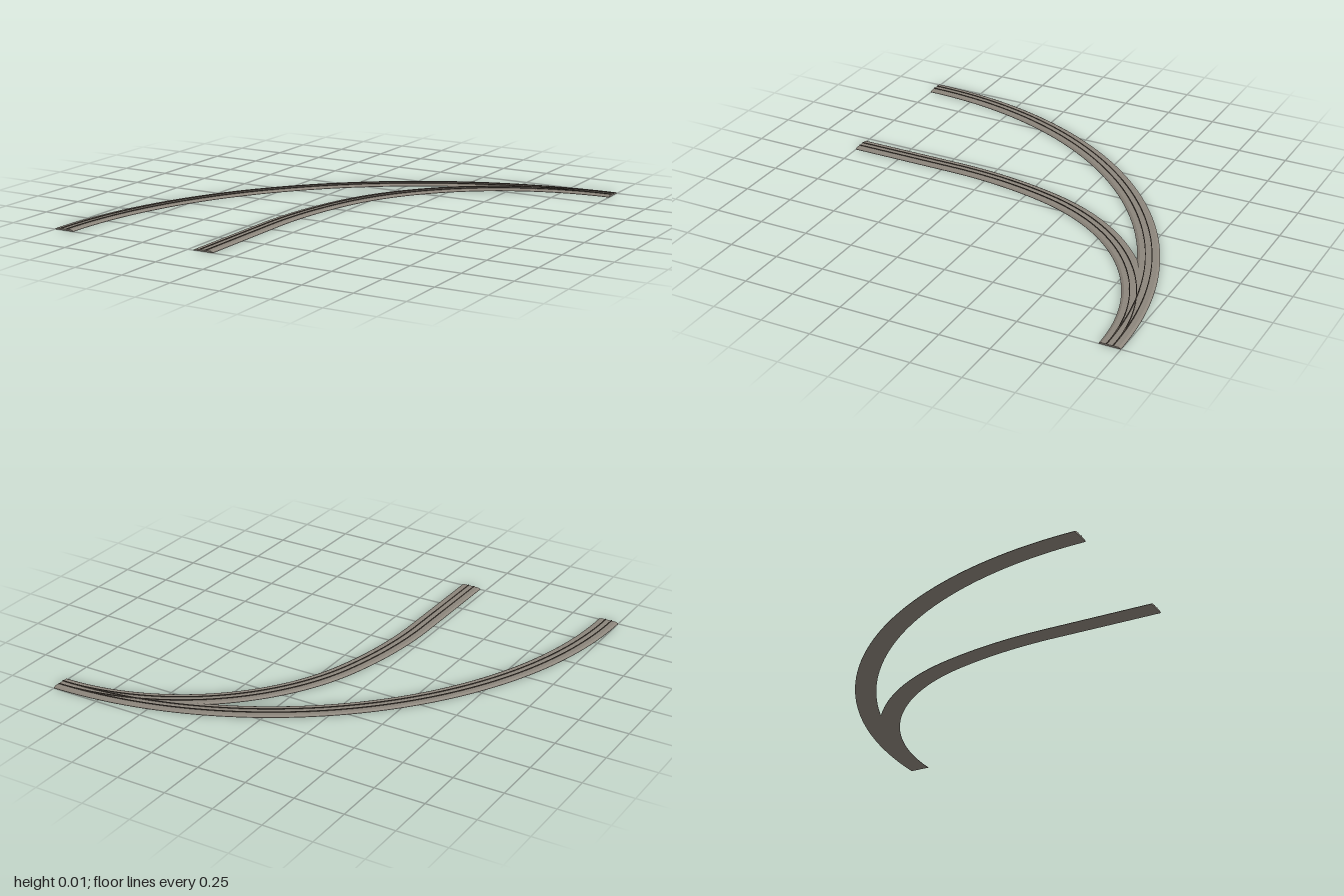
import * as THREE from 'three';
import { toCreasedNormals } from 'three/addons/utils/BufferGeometryUtils.js';

// Arc stations: position on the centreline plus the outward direction
function arc(cx, cz, r, a0, a1, steps) {
  return Array.from({ length: steps + 1 }, (_, i) => {
    const a = a0 + (a1 - a0) * i / steps;
    const nx = -Math.cos(a), nz = -Math.sin(a);
    return { x: cx + r * nx, z: cz + r * nz, nx, nz };
  });
}

// Sweep a closed convex profile of [outward offset, height] along the stations
function sweep(path, profile) {
  const n = profile.length, pos = [], idx = [];
  for (const s of path)
    for (const [o, y] of profile) pos.push(s.x + s.nx * o, y, s.z + s.nz * o);
  for (let i = 0; i < path.length - 1; i++)
    for (let j = 0; j < n; j++) {
      const a = i * n + j, b = i * n + (j + 1) % n;
      idx.push(a, b, b + n, a, b + n, a + n);
    }
  const e = (path.length - 1) * n;
  for (let j = 1; j < n - 1; j++) idx.push(0, j + 1, j, e, e + j, e + j + 1);
  const g = new THREE.BufferGeometry();
  g.setAttribute('position', new THREE.Float32BufferAttribute(pos, 3));
  g.setIndex(idx);
  return toCreasedNormals(g, 0.2);
}

export function createModel() {
  const gravel = new THREE.MeshStandardMaterial({ color: 0x8c857b });
  gravel.name = 'gravel';
  const steel = new THREE.MeshStandardMaterial({ color: 0x51483f });
  steel.name = 'darkSteel';

  // Low ballast bed with sloping shoulders, and a slim rail
  const bedProfile = [[-0.053, 0], [0.053, 0], [0.053, 0.002], [0.041, 0.008], [-0.041, 0.008], [-0.053, 0.002]];
  const railProfile = (o) => [[o - 0.0018, 0.007], [o + 0.0018, 0.007], [o + 0.0018, 0.0115], [o - 0.0018, 0.0115]];

  // Main curve is a quarter circle; the branch is straight, then eases into a tighter curve
  const ease = Math.atan2(0.267, 0.945);
  const paths = {
    mainTrack: arc(1, 1, 1.947, 0, Math.PI / 2, 64),
    branchTrack: [
      { x: -0.167, z: 1, nx: -1, nz: 0 },
      ...arc(1.945, 0.45, 2.112, 0, ease, 16),
      ...arc(1, 0.183, 1.13, ease, Math.PI / 2, 48).slice(1),
    ],
  };

  const model = new THREE.Group();
  model.name = 'railwayJunction';
  for (const [name, path] of Object.entries(paths)) {
    const track = new THREE.Group();
    track.name = name;
    const add = (part, profile, material) => {
      const mesh = new THREE.Mesh(sweep(path, profile), material);
      mesh.name = part;
      track.add(mesh);
    };
    add('ballastBed', bedProfile, gravel);
    add('outerRail', railProfile(0.0155), steel);
    add('innerRail', railProfile(-0.0155), steel);
    model.add(track);
  }
  return model;
}
